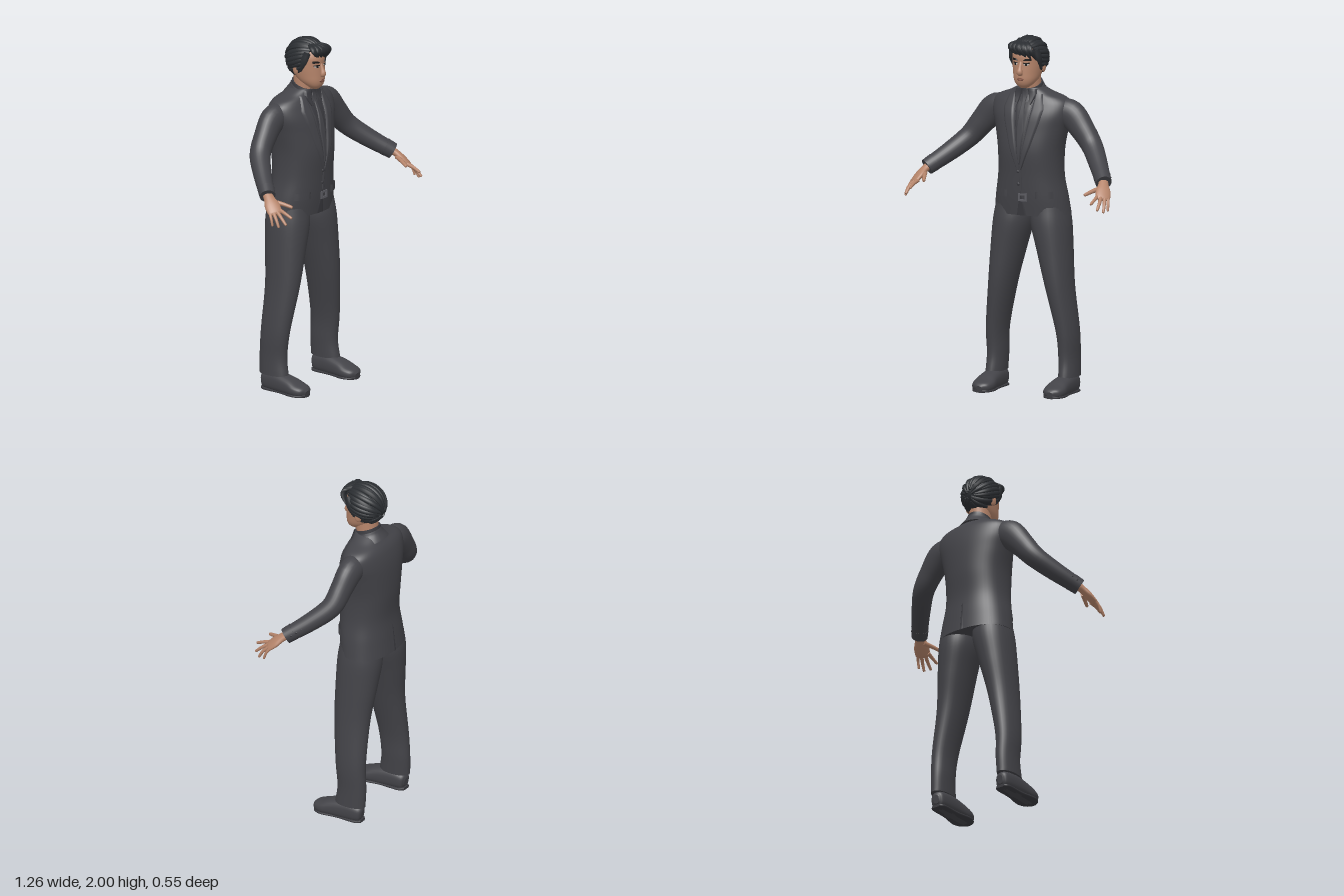
import * as THREE from 'three';

const mat = (name, color, side = THREE.DoubleSide) =>
  Object.assign(new THREE.MeshStandardMaterial({ color, side }), { name });
const M = {
  suit: mat('suit charcoal', 0x434348),
  shirt: mat('shirt dark grey', 0x3a3a3f),
  hair: mat('hair black', 0x2b2e32),
  skin: mat('skin', 0xb5846a),
  lip: mat('lip', 0x8a5a4a),
  white: mat('eye white', 0xb9b4ae),
  dark: mat('eye and brow', 0x1c1a1a),
  metal: mat('buckle grey', 0x5c5c62),
};

// Rows are [x, y, z, radiusU, radiusV]; smooth() fills in rows between them.
function smooth(rows, n = 5) {
  const curve = (f) => new THREE.CatmullRomCurve3(rows.map(f), false, 'catmullrom', 0.5);
  const c = curve((r) => new THREE.Vector3(r[0], r[1], r[2]));
  const q = curve((r) => new THREE.Vector3(r[3], r[4], 0));
  const out = [], total = (rows.length - 1) * n;
  for (let i = 0; i <= total; i++) {
    const a = c.getPoint(i / total), b = q.getPoint(i / total);
    out.push([a.x, a.y, a.z, Math.max(b.x, 0.001), Math.max(b.y, 0.001)]);
  }
  return out;
}

// Skin over superellipse rings: level rings when flat, otherwise square to the path.
function loft(name, material, dense, { flat = false, hint = [1, 0, 0], seg = 28, p = 2, rule } = {}) {
  const pos = [], idx = [], n = dense.length;
  const at = (i) => new THREE.Vector3(...dense[Math.max(0, Math.min(n - 1, i))].slice(0, 3));
  const bend = (c) => Math.sign(c) * Math.abs(c) ** (2 / p);
  dense.forEach((r, i) => {
    const t = flat ? new THREE.Vector3(0, 1, 0) : at(i + 1).sub(at(i - 1)).normalize();
    const u = new THREE.Vector3(...hint).addScaledVector(t, -t.dot(new THREE.Vector3(...hint))).normalize();
    const v = u.clone().cross(t);
    for (let j = 0; j < seg; j++) {
      const a = (j / seg) * Math.PI * 2;
      const q = at(i).addScaledVector(u, r[3] * bend(Math.cos(a))).addScaledVector(v, r[4] * bend(Math.sin(a)));
      if (rule) rule(q);
      pos.push(q.x, q.y, q.z);
    }
  });
  for (let i = 0; i < n - 1; i++) for (let j = 0; j < seg; j++) {
    const a = i * seg + j, b = i * seg + (j + 1) % seg;
    idx.push(a, a + seg, b, b, a + seg, b + seg);
  }
  // End caps use their own vertices so that the rim stays sharp
  [0, n - 1].forEach((row) => {
    const base = pos.length / 3, ring = pos.slice(row * seg * 3, (row + 1) * seg * 3);
    const mid = [0, 1, 2].map((k) => ring.reduce((s, x, m) => s + (m % 3 === k ? x : 0), 0) / seg);
    pos.push(...ring, ...mid);
    for (let j = 0; j < seg; j++) {
      const a = base + j, b = base + (j + 1) % seg;
      idx.push(base + seg, ...(row ? [b, a] : [a, b]));
    }
  });
  return finish(name, material, pos, idx);
}

function finish(name, material, pos, idx) {
  const g = new THREE.BufferGeometry();
  g.setAttribute('position', new THREE.Float32BufferAttribute(pos, 3));
  g.setIndex(idx);
  g.computeVertexNormals();
  const m = new THREE.Mesh(g, material);
  m.name = name;
  return m;
}

// Depth of a flat loft at (x, y); dir 1 is its front, -1 its back
function surfaceZ(body, p, x, y, dir) {
  let i = body.findIndex((r) => r[1] >= y);
  if (i < 1) i = i < 0 ? body.length - 1 : 1;
  const A = body[i - 1], B = body[i], k = THREE.MathUtils.clamp((y - A[1]) / (B[1] - A[1]), 0, 1);
  const [cz, rx, rz] = [2, 3, 4].map((m) => A[m] + (B[m] - A[m]) * k);
  return cz + dir * rz * Math.max(0, 1 - Math.abs(x / rx) ** p) ** (1 / p);
}

// Thin patch that follows a body; lines are [xLeft, xRight, y] from top to bottom
function panel(name, material, body, p, lines, off, dir = 1) {
  const pos = [], idx = [], cols = 8, sub = 5, rows = (lines.length - 1) * sub;
  for (let i = 0; i <= rows; i++) {
    const s = Math.min(Math.floor(i / sub), lines.length - 2), k = i / sub - s;
    const [l, r, y] = [0, 1, 2].map((m) => lines[s][m] + (lines[s + 1][m] - lines[s][m]) * k);
    for (let j = 0; j <= cols; j++) {
      const x = l + ((r - l) * j) / cols, edge = j === 0 || j === cols;
      pos.push(x, y, surfaceZ(body, p, x, y, dir) + dir * (edge ? -0.002 : off));
      if (i < rows && j < cols) {
        const a = i * (cols + 1) + j, b = a + cols + 1;
        idx.push(...(dir * (r - l || lines[0][1] - lines[0][0]) > 0 ? [a, b, a + 1, a + 1, b, b + 1] : [a, a + 1, b, a + 1, b + 1, b]));
      }
    }
  }
  return finish(name, material, pos, idx);
}

export function createModel() {
  const model = new THREE.Group();
  model.name = 'manInSuit';
  const add = (...m) => model.add(...m);
  const flip = (rows, s) => rows.map((r) => [r[0] * s, ...r.slice(1)]);
  const flipLines = (lines, s) => lines.map(([a, b, y]) => [a * s, b * s, y]);

  // Jacket body
  const TP = 2.25;
  const torso = smooth([
    [0, 1.0, -0.127, 0.222, 0.143], [0, 1.1, -0.115, 0.208, 0.145], [0, 1.22, -0.105, 0.188, 0.145],
    [0, 1.36, -0.105, 0.188, 0.155], [0, 1.48, -0.113, 0.21, 0.147], [0, 1.56, -0.118, 0.232, 0.135],
    [0, 1.62, -0.123, 0.232, 0.115], [0, 1.655, -0.122, 0.2, 0.098], [0, 1.682, -0.112, 0.13, 0.082],
    [0, 1.71, -0.1, 0.075, 0.07]], 6);
  add(loft('jacket', M.suit, torso, { flat: true, seg: 48, p: TP }));
  const onCoat = (name, m, lines, off, dir) => add(panel(name, m, torso, TP, lines, off, dir));
  onCoat('shirtFront', M.shirt, [[-0.06, 0.06, 1.69], [-0.05, 0.05, 1.58], [-0.005, 0.005, 1.29]], 0.002);
  onCoat('tie', M.suit, [[-0.016, 0.016, 1.69], [-0.022, 0.022, 1.67], [-0.012, 0.012, 1.635],
    [-0.026, 0.026, 1.48], [-0.006, 0.006, 1.3]], 0.007);
  onCoat('frontEdge', M.suit, [[-0.004, 0.014, 1.29], [-0.004, 0.014, 1.14]], 0.004);
  onCoat('frontOpening', M.shirt, [[0.0, 0.002, 1.14], [-0.032, 0.034, 1.0]], 0.002);
  onCoat('backVent', M.shirt, [[-0.004, 0.004, 1.16], [-0.012, 0.008, 1.0]], 0.003, -1);
  for (const s of [1, -1]) {
    onCoat('lapel', M.suit, flipLines([[0.062, 0.1, 1.68], [0.052, 0.125, 1.6], [0.043, 0.11, 1.53],
      [0.02, 0.065, 1.39], [0.0, 0.012, 1.26]], s), 0.008);
    onCoat('pocketFlap', M.suit, flipLines([[0.085, 0.175, 1.14], [0.085, 0.178, 1.1]], s), 0.008);
    onCoat('shirtCollarWing', M.shirt, flipLines([[0.012, 0.066, 1.705], [0.02, 0.07, 1.675], [0.036, 0.044, 1.62]], s), 0.009);
  }
  for (const y of [1.25, 1.18]) {
    const b = new THREE.Mesh(new THREE.SphereGeometry(0.009, 12, 8).scale(1, 1, 0.5), M.shirt);
    b.position.set(-0.008, y, surfaceZ(torso, TP, 0, y, 1) + 0.004);
    b.name = 'jacketButton';
    add(b);
  }
  // Belt buckle frame
  const frame = new THREE.Shape([[-1, -1], [1, -1], [1, 1], [-1, 1]].map(([x, y]) => new THREE.Vector2(x * 0.026, y * 0.022)));
  frame.holes.push(new THREE.Path([[-1, -1], [-1, 1], [1, 1], [1, -1]].map(([x, y]) => new THREE.Vector2(x * 0.015, y * 0.011))));
  const buckle = new THREE.Mesh(new THREE.ExtrudeGeometry(frame, { depth: 0.008, bevelEnabled: false }), M.metal);
  buckle.position.set(0.015, 1.105, surfaceZ(torso, TP, 0, 1.1, 1));
  buckle.name = 'beltBuckle';
  add(buckle);

  // Collars dip towards the front
  const dip = (q) => { q.y -= (q.z + 0.1) * 0.36; };
  add(loft('jacketCollar', M.suit, smooth([[0, 1.65, -0.105, 0.12, 0.1], [0, 1.69, -0.1, 0.085, 0.08], [0, 1.715, -0.098, 0.074, 0.071]]), { flat: true, rule: dip }));
  add(loft('shirtCollar', M.shirt, smooth([[0, 1.68, -0.096, 0.076, 0.076], [0, 1.732, -0.095, 0.067, 0.068]]), { flat: true, rule: dip }));
  add(loft('neck', M.skin, smooth([[0, 1.66, -0.1, 0.062, 0.062], [0, 1.73, -0.09, 0.06, 0.065], [0, 1.8, -0.085, 0.06, 0.068]]), { flat: true }));

  // Head and face
  const HP = 2.15;
  const head = smooth([
    [0, 1.713, -0.02, 0.02, 0.025], [0, 1.732, -0.022, 0.046, 0.045], [0, 1.76, -0.042, 0.066, 0.074],
    [0, 1.8, -0.062, 0.077, 0.094], [0, 1.85, -0.07, 0.084, 0.1], [0, 1.9, -0.074, 0.084, 0.104],
    [0, 1.945, -0.08, 0.07, 0.085], [0, 1.97, -0.08, 0.035, 0.045]]);
  add(loft('head', M.skin, head, { flat: true, seg: 36, p: HP }));
  const onFace = (name, m, lines, off) => add(panel(name, m, head, HP, lines, off));
  add(loft('nose', M.skin, smooth([[0, 1.865, 0.022, 0.009, 0.008], [0, 1.83, 0.034, 0.012, 0.012],
    [0, 1.805, 0.041, 0.017, 0.015], [0, 1.79, 0.032, 0.013, 0.008]]), { seg: 14 }));
  onFace('upperLip', M.lip, [[-0.008, 0.008, 1.775], [-0.025, 0.025, 1.768]], 0.005);
  onFace('lowerLip', M.lip, [[-0.024, 0.024, 1.767], [-0.012, 0.012, 1.757]], 0.006);
  for (const s of [1, -1]) {
    onFace('eyeWhite', M.white, flipLines([[0.024, 0.04, 1.857], [0.016, 0.05, 1.85], [0.024, 0.042, 1.844]], s), 0.002);
    onFace('iris', M.dark, flipLines([[0.026, 0.04, 1.858], [0.026, 0.04, 1.844]], s), 0.004);
    onFace('eyelid', M.dark, flipLines([[0.018, 0.05, 1.861], [0.015, 0.053, 1.855]], s), 0.005);
    onFace('eyebrow', M.dark, flipLines([[0.03, 0.056, 1.883], [0.014, 0.06, 1.871]], s), 0.006);
    const ear = new THREE.Mesh(new THREE.SphereGeometry(1, 14, 12).scale(0.012, 0.034, 0.021), M.skin);
    ear.position.set(0.086 * s, 1.83, -0.088);
    ear.rotation.set(-0.15, 0.3 * s, 0);
    ear.name = 'ear';
    add(ear);
  }

  // Hair: a tilted egg around a front-to-back axis, open over the face, with combed locks
  const tilt = 0.3;
  const scalp = (phi, s, k = 1) => {
    const x = 0.097 * Math.sin(s) * Math.cos(phi), y = 0.106 * Math.sin(s) * Math.sin(phi), z = 0.119 * Math.cos(s);
    return [x * k, 1.88 + k * (y * Math.cos(tilt) + z * Math.sin(tilt)), -0.08 + k * (z * Math.cos(tilt) - y * Math.sin(tilt))];
  };
  const start = (phi) => 0.38 + (1 - Math.sin(phi)) * 0.73;
  const hp = [], hi = [], H = 48, V = 16;
  for (let i = 0; i <= V; i++) for (let j = 0; j < H; j++) {
    const phi = (j / H) * Math.PI * 2;
    hp.push(...scalp(phi, start(phi) + ((Math.PI - start(phi)) * i) / V));
    if (i < V) {
      const a = i * H + j, b = i * H + (j + 1) % H;
      hi.push(a, b, a + H, b, b + H, a + H);
    }
  }
  add(finish('hairCap', M.hair, hp, hi));
  for (let n = 0; n < 30; n++) {
    const phi = (n / 30) * Math.PI * 2, a = start(phi) - 0.04, wob = Math.sin(n * 2.7);
    const end = 2.75 + 0.25 * wob, rows = [];
    for (let i = 0; i <= 5; i++) {
      const k = i / 5, w = Math.sin(Math.PI * (0.12 + 0.8 * k));
      rows.push([...scalp(phi + 0.3 * k * (0.6 + 0.4 * wob), a + (end - a) * k, 1.0), 0.004 + 0.012 * w, 0.004 + (0.007 + 0.002 * wob) * w]);
    }
    const side = [-Math.sin(phi), Math.cos(phi), 0];
    add(loft('hairLock', M.hair, smooth(rows, 4), { hint: side, seg: 8 }));
  }
  // Swept fringe
  [[-0.07, 0.0], [-0.045, 0.008], [-0.02, 0.012], [0.005, 0.01], [0.03, 0.002]].forEach(([x, dz], i) => {
    add(loft('fringeLock', M.hair, smooth([
      [x * 0.6, 1.968, -0.02, 0.012, 0.01], [x + 0.01, 1.95, 0.022 + dz, 0.022, 0.014],
      [x + 0.035, 1.922, 0.026 + dz, 0.018, 0.011], [x + 0.05, 1.9 - i * 0.007, 0.022 + dz - i * 0.008, 0.003, 0.003]]), { seg: 10 }));
  });
  for (const s of [1, -1]) {
    add(loft('sideburn', M.hair, smooth([[0.07 * s, 1.93, -0.015, 0.022, 0.018], [0.084 * s, 1.89, -0.03, 0.014, 0.026],
      [0.086 * s, 1.855, -0.045, 0.009, 0.02], [0.082 * s, 1.82, -0.055, 0.004, 0.006]]), { seg: 12 }));
  }

  for (const s of [1, -1]) {
    // Sleeve, cuff and cuff buttons
    add(loft('sleeve', M.suit, smooth(flip([[0.15, 1.58, -0.125, 0.07, 0.068], [0.235, 1.562, -0.128, 0.082, 0.065],
      [0.31, 1.485, -0.12, 0.07, 0.06], [0.38, 1.4, -0.1, 0.06, 0.058], [0.46, 1.32, -0.018, 0.053, 0.051],
      [0.545, 1.243, 0.085, 0.045, 0.043]], s)), { hint: [s, 1, 0] }));
    add(loft('cuff', M.suit, smooth(flip([[0.52, 1.266, 0.055, 0.049, 0.047], [0.55, 1.239, 0.091, 0.046, 0.044]], s)), { hint: [s, 1, 0] }));
    for (let i = 0; i < 3; i++) {
      const b = new THREE.Mesh(new THREE.SphereGeometry(0.008, 10, 8), M.shirt);
      b.position.set((0.565 - i * 0.018) * s, 1.262 + i * 0.017, 0.045 - i * 0.022);
      b.name = 'cuffButton';
      add(b);
    }
    // Hand
    const across = [0.75 * s, -0.15, -0.6];
    add(loft('palm', M.skin, smooth(flip([[0.54, 1.248, 0.08, 0.028, 0.024], [0.557, 1.228, 0.108, 0.03, 0.02],
      [0.572, 1.2, 0.14, 0.042, 0.019], [0.587, 1.17, 0.172, 0.04, 0.014], [0.592, 1.16, 0.182, 0.03, 0.007]], s)), { hint: across, seg: 20 }));
    const fingers = [
      [[0.558, 1.178, 0.182], [0.563, 1.165, 0.228], [0.562, 1.148, 0.268]],
      [[0.578, 1.172, 0.182], [0.59, 1.145, 0.222], [0.594, 1.115, 0.255]],
      [[0.596, 1.165, 0.172], [0.61, 1.135, 0.202], [0.615, 1.1, 0.222]],
      [[0.608, 1.168, 0.154], [0.62, 1.138, 0.174], [0.624, 1.104, 0.185]],
      [[0.545, 1.212, 0.125], [0.522, 1.202, 0.175], [0.502, 1.188, 0.222]]];
    fingers.forEach((f, i) => {
      const r = [0.0115, 0.0115, 0.011, 0.0095, 0.014][i];
      const rows = f.map((q, k) => [...q, r * (1 - 0.18 * k), r * (1 - 0.18 * k)]);
      const tip = f[2].map((v, k) => v + (v - f[1][k]) * 0.12);
      add(loft(i === 4 ? 'thumb' : 'finger', M.skin, smooth(flip([...rows, [...tip, 0.002, 0.002]], s), 4), { hint: across, seg: 10 }));
    });

    // Trouser leg and shoe
    add(loft('trouserLeg', M.suit, smooth(flip([[0.226, 0.095, -0.125, 0.05, 0.094], [0.222, 0.2, -0.133, 0.052, 0.088],
      [0.217, 0.35, -0.122, 0.058, 0.092], [0.176, 0.6, -0.106, 0.075, 0.107], [0.143, 0.8, -0.112, 0.095, 0.122],
      [0.117, 0.95, -0.118, 0.11, 0.13], [0.11, 1.05, -0.12, 0.1, 0.12]], s), 6), { flat: true, seg: 32, p: 2.1 }));
    add(loft('shoe', M.suit, smooth(flip([[0.22, 0.05, -0.203, 0.018, 0.025], [0.221, 0.052, -0.185, 0.04, 0.048],
      [0.222, 0.056, -0.11, 0.05, 0.058], [0.222, 0.048, -0.02, 0.058, 0.05], [0.221, 0.037, 0.04, 0.064, 0.037],
      [0.22, 0.03, 0.085, 0.05, 0.028], [0.22, 0.026, 0.106, 0.018, 0.014]], s)), { p: 2.5, rule: (q) => { q.y = Math.max(q.y - 0.002, 0); } }));
    add(loft('shoeSole', M.shirt, smooth(flip([[0.221, 0.008, -0.203, 0.025, 0.008], [0.221, 0.008, -0.17, 0.046, 0.008],
      [0.221, 0.008, -0.06, 0.048, 0.008], [0.221, 0.008, 0.035, 0.064, 0.008], [0.22, 0.008, 0.085, 0.048, 0.008],
      [0.22, 0.008, 0.104, 0.02, 0.008]], s)), { p: 4 }));
  }
  return model;
}
